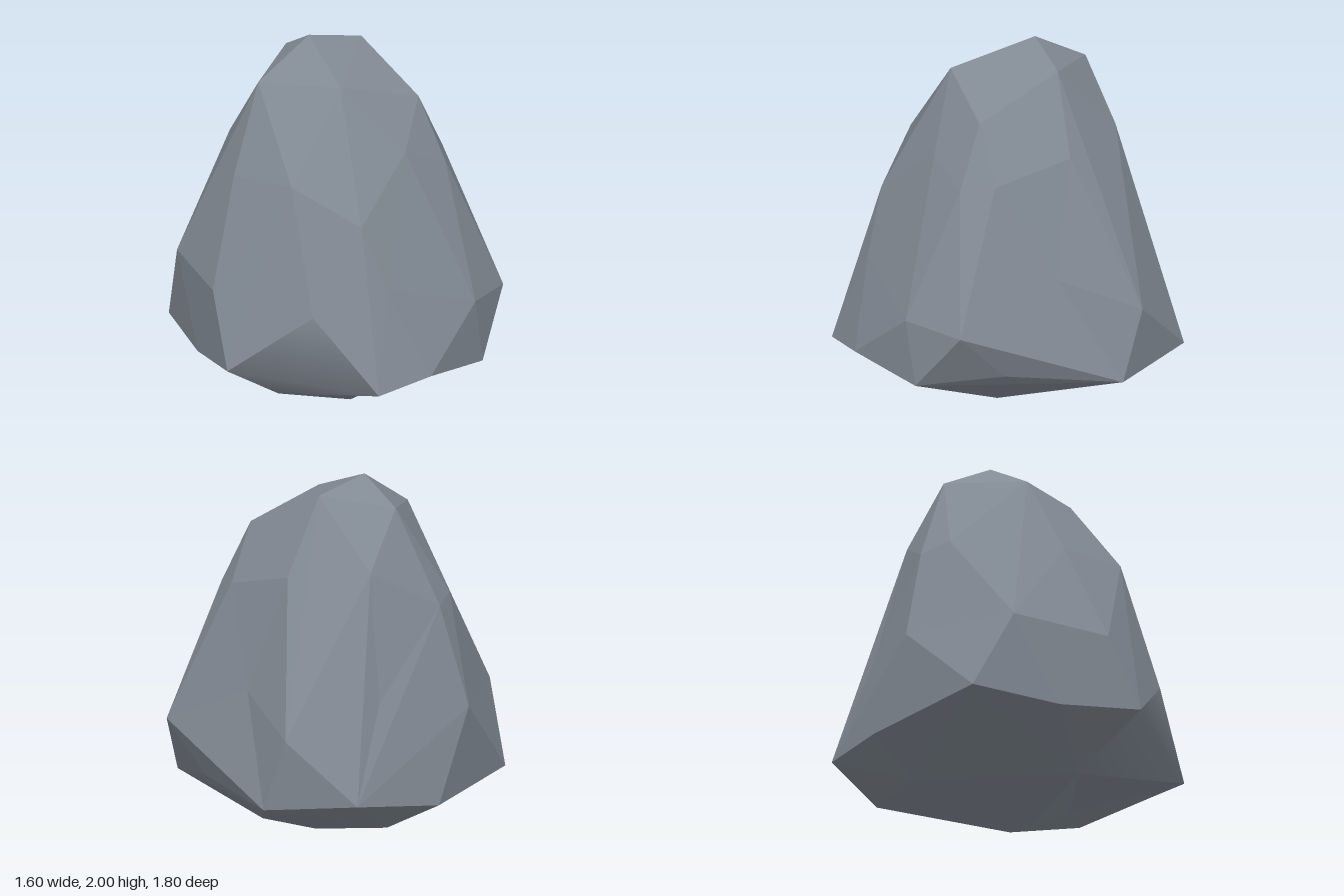
import * as THREE from 'three';
import { ConvexGeometry } from 'three/addons/geometries/ConvexGeometry.js';

const v = (x, y, z) => new THREE.Vector3(x, y, z);
const centre = v(0, 0.85, 0);

// Corners around the smoothly worn lower front edge
const worn = {
  side: v(-0.8, 0.37, 0.36),
  tip: v(-0.15, 0.31, 0.9),
  brow: v(-0.42, 0.71, 0.64),
  ridge: v(-0.02, 0.84, 0.73),
  under: v(-0.41, 0.12, 0.16),
};

// Shallow hollows that lie just inside the convex outline
const hollows = [v(0.66, 0.89, -0.15), v(0.06, 0.12, 0.32)];

const corners = [
  // crown
  v(-0.07, 2, -0.2), v(0.26, 1.93, -0.25), v(-0.4, 1.8, -0.13),
  v(-0.09, 1.85, 0.26), v(0.39, 1.72, 0.21), v(-0.08, 1.86, -0.48),
  // shoulders
  v(0.48, 1.51, -0.27), v(-0.6, 1.34, 0), v(-0.44, 1.38, 0.4),
  v(-0.13, 1.18, 0.63), v(0.22, 1.49, 0.42), v(0.49, 1.38, 0.34),
  v(0.55, 1.41, 0.16), v(0.16, 1.55, -0.59), v(-0.23, 1.34, -0.68),
  v(-0.37, 1.38, -0.57),
  // waist
  v(0.53, 0.67, 0.65), v(0.8, 0.65, 0.41), v(0.73, 0.7, -0.61),
  v(0.22, 0.87, -0.76), v(-0.33, 0.8, -0.81), v(-0.77, 0.82, -0.37),
  v(-0.8, 0.77, 0.17),
  // lower rim
  v(0.18, 0.36, 0.85), v(0.59, 0.31, 0.61), v(0.73, 0.38, 0.15),
  v(0.79, 0.31, -0.49), v(0.46, 0.36, -0.9), v(-0.08, 0.3, -0.89),
  v(-0.72, 0.38, -0.59), v(-0.77, 0.33, -0.1),
  // underside
  v(0.04, 0, 0.1), v(0.38, 0.1, 0.11), v(0.06, 0.14, -0.6),
];

// Push a corner slightly towards a sphere so that every corner joins the hull
function inflate(p) {
  const d = p.clone().sub(centre);
  const r = d.length();
  const extra = hollows.includes(p) ? 0.1 : p === worn.ridge ? 0.02 : 0;
  return d.setLength(r + (0.97 - r) * 0.1 + extra).add(centre);
}

function stoneGeometry() {
  const points = [...corners, ...hollows, ...Object.values(worn)];
  const inflated = points.map(inflate);
  const geometry = new ConvexGeometry(inflated);
  const position = geometry.attributes.position;

  // Let each hull corner settle back to its true place
  const owner = [];
  const q = v(0, 0, 0);
  for (let i = 0; i < position.count; i++) {
    q.fromBufferAttribute(position, i);
    let best = 0;
    inflated.forEach((p, k) => {
      if (p.distanceToSquared(q) < inflated[best].distanceToSquared(q)) best = k;
    });
    owner.push(points[best]);
    position.setXYZ(i, ...points[best].toArray());
  }
  geometry.computeVertexNormals(); // flat facets

  // Blend the normals over the worn front edge only
  const normal = geometry.attributes.normal;
  const patch = Object.values(worn);
  const sums = new Map();
  const smooth = [];
  for (let i = 0; i < position.count; i += 3) {
    const tri = owner.slice(i, i + 3);
    if (!tri.includes(worn.tip) || !tri.every((p) => patch.includes(p))) continue;
    const n = v(0, 0, 0).fromBufferAttribute(normal, i);
    tri.forEach((p, k) => {
      if (!sums.has(p)) sums.set(p, v(0, 0, 0));
      sums.get(p).add(n);
      smooth.push(i + k);
    });
  }
  for (const i of smooth) {
    const n = sums.get(owner[i]).clone().normalize();
    normal.setXYZ(i, n.x, n.y, n.z);
  }
  return geometry;
}

export function createModel() {
  const group = new THREE.Group();
  group.name = 'rock';
  const stoneGrey = new THREE.MeshStandardMaterial({ color: 0x828a94 });
  stoneGrey.name = 'stoneGrey';
  const stone = new THREE.Mesh(stoneGeometry(), stoneGrey);
  stone.name = 'stone';
  group.add(stone);
  return group;
}
